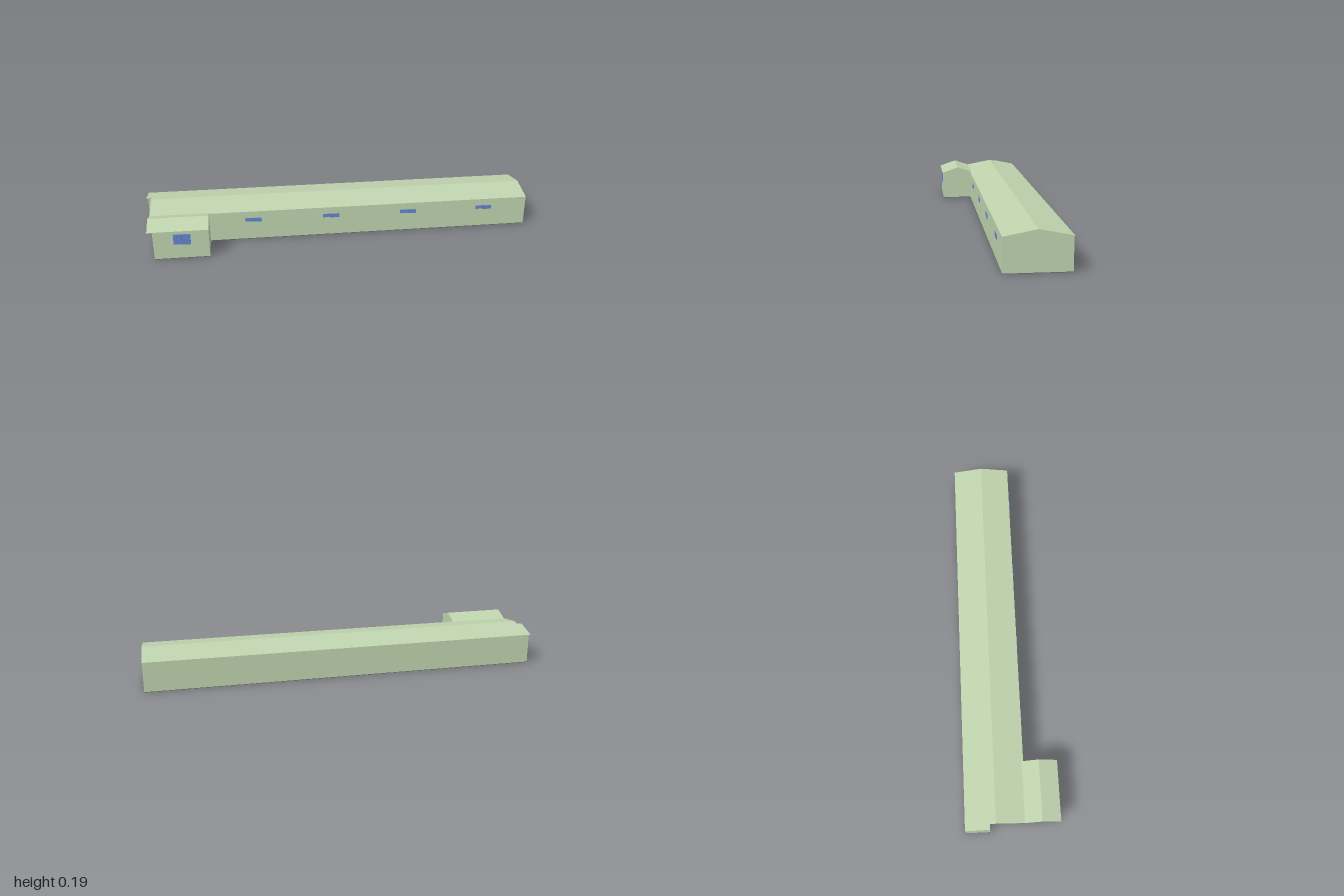
import * as THREE from 'three';

export function createModel() {
  const material = (name, color, side = THREE.FrontSide) => {
    const m = new THREE.MeshStandardMaterial({ color, side });
    m.name = name;
    return m;
  };
  const sage = material('sage green', 0xbfd3ae, THREE.DoubleSide);
  const blue = material('window blue', 0x6286d0);
  const grey = material('dark grey', 0x626262);

  const model = new THREE.Group();
  model.name = 'longBuilding';
  // Local x runs along the ridge, local z across it
  const building = new THREE.Group();
  building.name = 'building';
  building.rotation.y = THREE.MathUtils.degToRad(21.65);
  model.add(building);

  function add(name, geometry, mat) {
    const mesh = new THREE.Mesh(geometry, mat);
    mesh.name = name;
    building.add(mesh);
    return mesh;
  }

  // Extrude a [z, y] cross-section from x0 to x1
  function prism(name, section, x0, x1, mat) {
    const shape = new THREE.Shape(section.map(([z, y]) => new THREE.Vector2(-z, y)));
    const g = new THREE.ExtrudeGeometry(shape, { depth: x1 - x0, bevelEnabled: false });
    g.rotateY(Math.PI / 2);
    g.translate(x0, 0, 0);
    return add(name, g, mat);
  }

  function box(name, x0, x1, y0, y1, z0, z1, mat) {
    const g = new THREE.BoxGeometry(x1 - x0, y1 - y0, z1 - z0);
    g.translate((x0 + x1) / 2, (y0 + y1) / 2, (z0 + z1) / 2);
    return add(name, g, mat);
  }

  // Each wing: roof line, wall ends and roof ends
  const right = 1.04;
  const wings = [
    { name: 'rear', line: [[-0.22, 0.157], [-0.1, 0.181]], wall: [-0.98, right], roof: [-0.989, right + 0.001] },
    { name: 'front', line: [[-0.1, 0.181], [-0.07, 0.187], [0.08, 0.158]], wall: [-0.936, right], roof: [-0.962, right + 0.001] },
    { name: 'annex', line: [[0.072, 0.159], [0.157, 0.187], [0.245, 0.157]], wall: [-0.936, -0.658], roof: [-0.962, -0.656] },
  ];
  for (const { name, line, wall, roof } of wings) {
    const z0 = line[0][0], z1 = line[line.length - 1][0];
    const under = line.map(([z, y]) => [z, y - 0.003]);
    prism(name + 'Walls', [[z0, 0.002], ...under, [z1, 0.002]], wall[0], wall[1], sage);
    box(name + 'Floor', wall[0], wall[1], 0, 0.002, z0, z1, grey);

    // Thin roof sheet, with a small eave on the outer edges
    const top = line.map(p => [...p]);
    if (name === 'rear') top[0] = [-0.223, 0.1565];
    if (name === 'annex') top[2] = [0.251, 0.155];
    const bottom = top.map(([z, y]) => [z, y - 0.003]).reverse();
    prism(name + 'Roof', [...top, ...bottom], roof[0], roof[1], sage);
  }

  // Two-pane windows on the front-facing walls
  function windowPair(name, x, z, width, y0, y1) {
    box(name + 'LeftPane', x - width / 2, x - 0.001, y0 + 0.002, y1, z, z + 0.002, blue);
    box(name + 'RightPane', x + 0.001, x + width / 2, y0, y1, z, z + 0.004, blue);
    box(name + 'Mullion', x - 0.001, x + 0.001, y0, y1, z, z + 0.004, grey);
  }
  [-0.43, -0.02, 0.393, 0.807].forEach((x, i) =>
    windowPair('hallWindow' + (i + 1), x, 0.08, 0.086, 0.1, 0.121));
  windowPair('annexWindow', -0.792, 0.245, 0.086, 0.078, 0.135);

  // Door in the recessed end wall
  box('doorGlass', -0.94, -0.936, 0.042, 0.106, -0.092, -0.066, blue);
  box('doorPanel', -0.94, -0.936, 0.002, 0.038, -0.092, -0.066, grey);

  return model;
}
